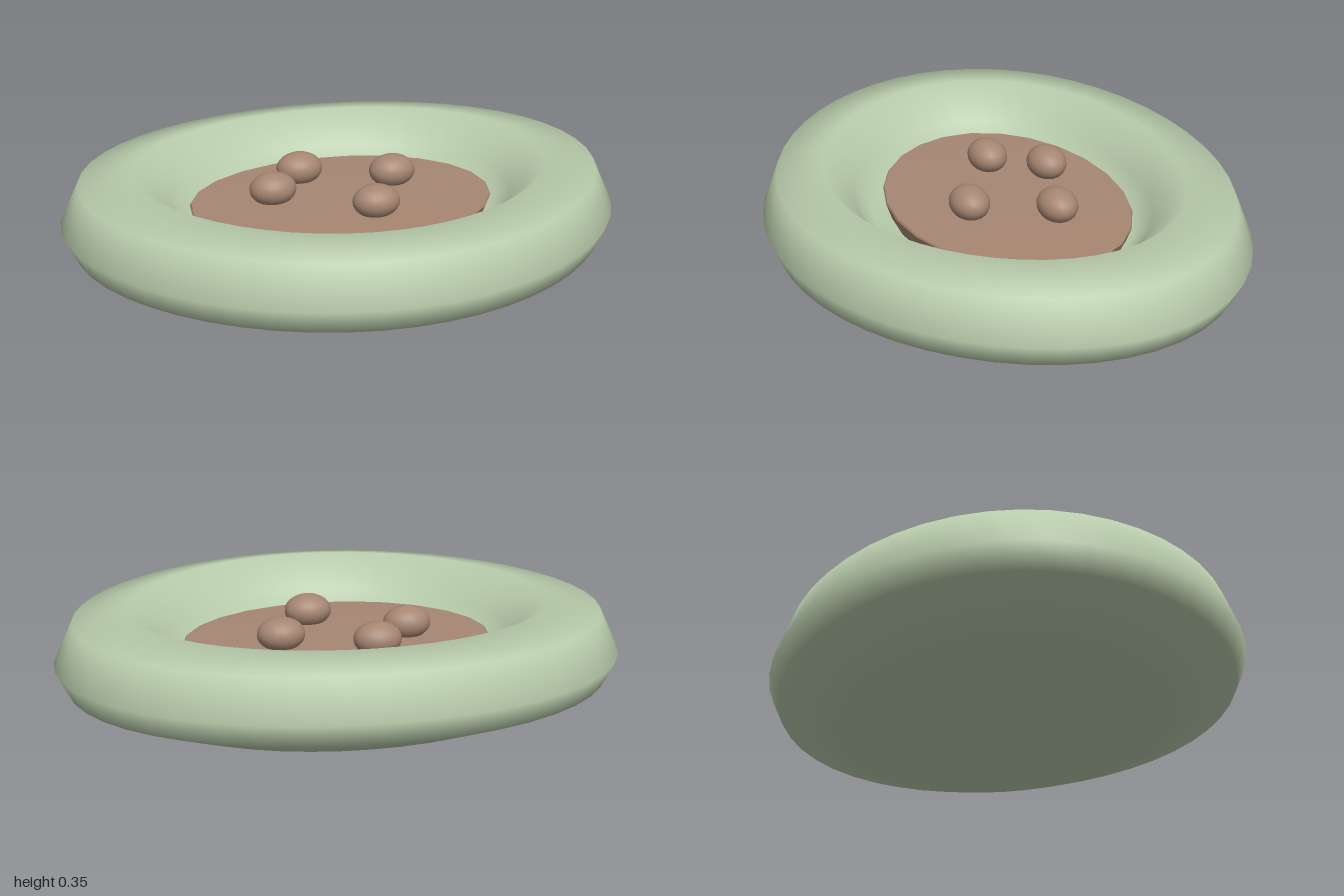
import * as THREE from 'three';
import { mergeVertices, toCreasedNormals } from 'three/addons/utils/BufferGeometryUtils.js';

// Lathe a profile, then squash it front to back and widen the rear into an egg outline
function eggLathe(profile, segments, depth, taper) {
  const points = profile.map(([r, y]) => new THREE.Vector2(r, y));
  let geo = new THREE.LatheGeometry(points, segments);
  const pos = geo.attributes.position;
  for (let i = 0; i < pos.count; i++) {
    const x = pos.getX(i), z = pos.getZ(i);
    const r = Math.hypot(x, z) || 1;
    pos.setX(i, x * (1 - taper * z / r));
    pos.setZ(i, z * depth);
  }
  // Weld the seam so the shading runs smoothly all round
  geo.deleteAttribute('uv');
  geo.deleteAttribute('normal');
  geo = mergeVertices(geo, 1e-4);
  geo.computeVertexNormals();
  return geo;
}

export function createModel() {
  const model = new THREE.Group();
  model.name = 'foodBowl';
  const green = new THREE.MeshStandardMaterial({ color: 0xb8cbab });
  const brown = new THREE.MeshStandardMaterial({ color: 0xa68672 });

  // Bowl: flat base, bulging side, rounded rim and sunken inside
  const bowl = new THREE.Mesh(eggLathe([
    [0, 0], [0.715, 0], [0.953, 0.09], [0.996, 0.175], [0.93, 0.32],
    [0.735, 0.355], [0.61, 0.24], [0.53, 0.16], [0, 0.14],
  ], 48, 0.832, 0.085), green);
  bowl.name = 'bowl';
  model.add(bowl);

  // Food: thin slab lying in the hollow
  const food = new THREE.Mesh(toCreasedNormals(eggLathe([
    [0, 0.15], [0.52, 0.15], [0.548, 0.215], [0.543, 0.222], [0, 0.226],
  ], 24, 0.76, 0.04), 0.6), brown);
  food.name = 'food';
  food.position.z = -0.025;
  model.add(food);

  // Kibble: flattened pieces resting on the food
  const kibbleGeo = new THREE.SphereGeometry(1, 20, 14);
  const spots = [[-0.1, -0.24], [0.217, -0.122], [-0.245, -0.07], [0.07, 0.147]];
  spots.forEach(([x, z], i) => {
    const piece = new THREE.Mesh(kibbleGeo, brown);
    piece.name = `kibble${i + 1}`;
    piece.position.set(x, 0.268, z);
    piece.scale.set(0.085, 0.06, 0.07);
    model.add(piece);
  });

  return model;
}
